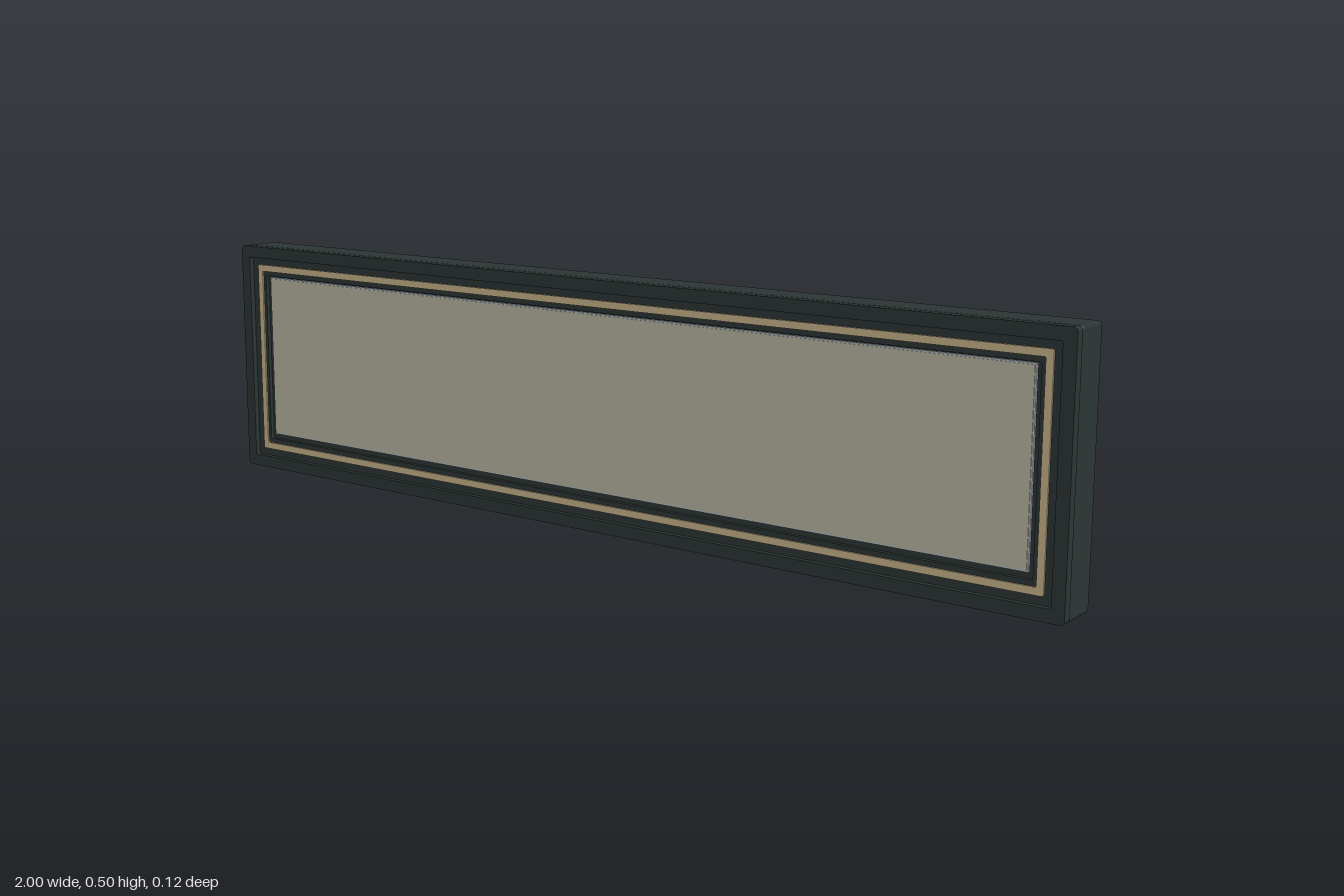
import * as THREE from 'three';
import { RoundedBoxGeometry } from 'three/addons/geometries/RoundedBoxGeometry.js';

const MID_Y = 0.25;

// Rounded rectangle outline, centred on the origin
function roundRect(Target, halfW, halfH, r) {
  const s = new Target();
  s.moveTo(-halfW + r, -halfH);
  s.lineTo(halfW - r, -halfH);
  s.absarc(halfW - r, -halfH + r, r, -Math.PI / 2, 0);
  s.lineTo(halfW, halfH - r);
  s.absarc(halfW - r, halfH - r, r, 0, Math.PI / 2);
  s.lineTo(-halfW + r, halfH);
  s.absarc(-halfW + r, halfH - r, r, Math.PI / 2, Math.PI);
  s.lineTo(-halfW, -halfH + r);
  s.absarc(-halfW + r, -halfH + r, r, Math.PI, Math.PI * 1.5);
  return s;
}

// Rectangular ring whose border has the given width, from z0 to z1
function ring(halfW, halfH, width, z0, z1, r) {
  const shape = roundRect(THREE.Shape, halfW, halfH, r);
  shape.holes.push(roundRect(THREE.Path, halfW - width, halfH - width, 0.003));
  const geo = new THREE.ExtrudeGeometry(shape, { depth: z1 - z0, bevelEnabled: false, curveSegments: 4 });
  return geo.translate(0, MID_Y, z0);
}

export function createModel() {
  const model = new THREE.Group();
  const material = (name, color) => new THREE.MeshStandardMaterial({ name, color });
  const dark = material('dark casing', 0x2c3534);
  const metal = material('warm grey', 0xbab5a4);
  const gold = material('pale gold', 0xc9b48a);
  const edge = material('pale edge', 0xb6c0c4);

  const add = (name, geo, mat, parent = model) => {
    const mesh = new THREE.Mesh(geo, mat);
    mesh.name = name;
    parent.add(mesh);
    return mesh;
  };

  // Casing and stepped front frame
  add('casing', new RoundedBoxGeometry(2, 0.5, 0.08, 3, 0.008).translate(0, MID_Y, 0.002), dark);
  add('outerFrame', ring(1, 0.25, 0.025, 0.042, 0.061, 0.008), dark);
  add('innerFrame', ring(0.976, 0.226, 0.041, 0.04, 0.05, 0.003), dark);
  add('goldTrim', ring(0.957, 0.209, 0.014, 0.049, 0.053, 0.004), gold);

  // Front panel with its pale rim
  add('panelRim', new THREE.BoxGeometry(1.85, 0.356, 0.006).translate(0, 0.254, 0.043), edge);
  add('panel', new THREE.BoxGeometry(1.844, 0.35, 0.002).translate(0, 0.254, 0.0465), metal);

  // Slotted mounting rails on the back, mirrored above and below the middle
  for (const side of [1, -1]) {
    const rail = new THREE.Group();
    rail.name = side > 0 ? 'upperRail' : 'lowerRail';
    const centre = MID_Y + side * 0.126;
    const plate = roundRect(THREE.Shape, 0.79, 0.029, 0.0005);
    for (const sx of [-1, 1]) {
      const slot = new THREE.Path();
      const x = sx * 0.625;
      slot.absarc(x + 0.026, 0, 0.007, -Math.PI / 2, Math.PI / 2);
      slot.absarc(x - 0.026, 0, 0.007, Math.PI / 2, Math.PI * 1.5);
      slot.closePath();
      plate.holes.push(slot);
    }
    const plateGeo = new THREE.ExtrudeGeometry(plate, { depth: 0.01, bevelEnabled: false, curveSegments: 8 });
    add('railPlate', plateGeo.translate(0, centre, -0.06), metal, rail);
    const spacer = new THREE.BoxGeometry(1.58, 0.017, 0.013);
    add('railSpacer', spacer.translate(0, MID_Y + side * 0.1055, -0.044), metal, rail);
    model.add(rail);
  }
  return model;
}
